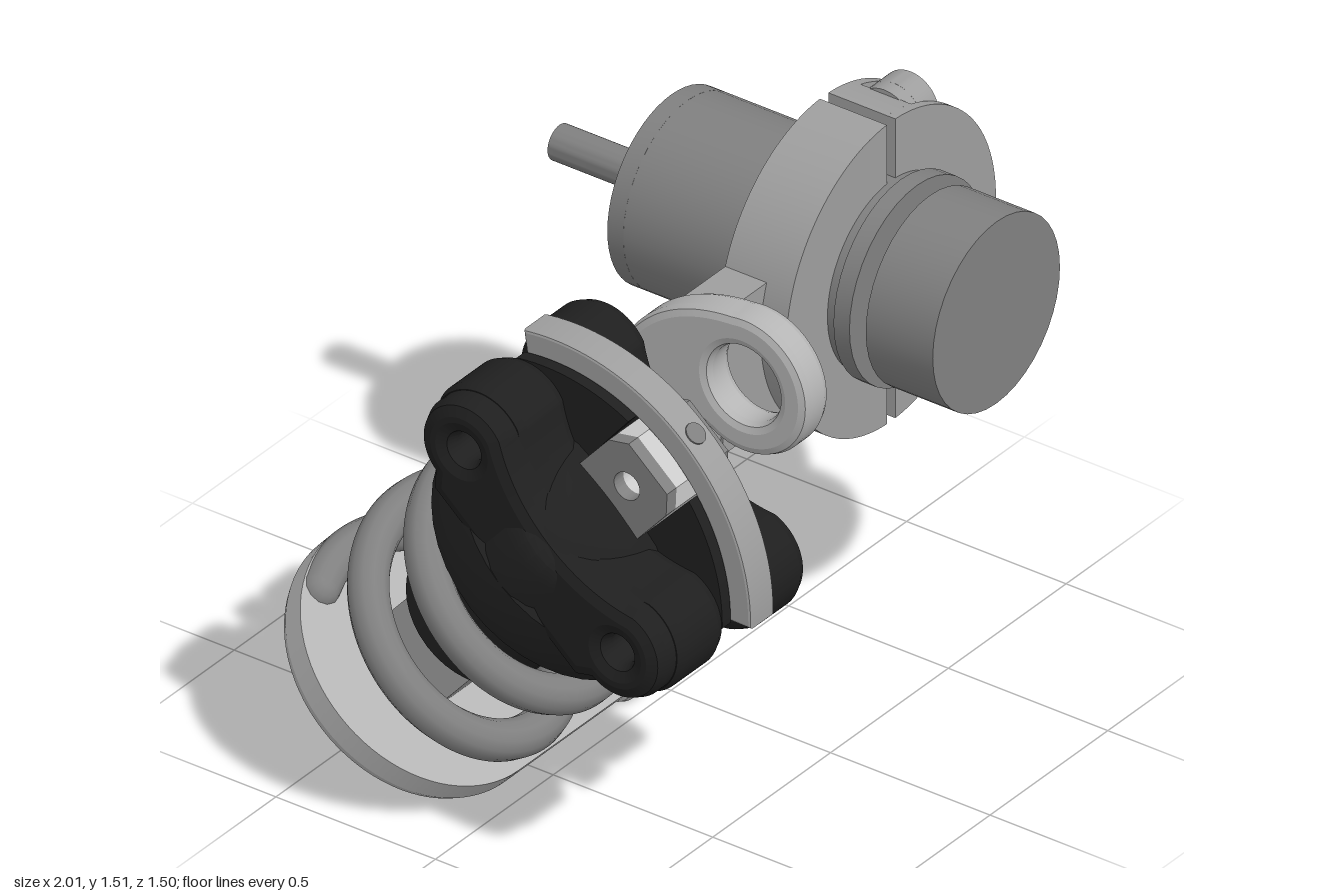
import * as THREE from 'three';
import { toCreasedNormals } from 'three/addons/utils/BufferGeometryUtils.js';

const PI = Math.PI;
const rad = (deg) => deg * PI / 180;
const paint = (color) => new THREE.MeshStandardMaterial({ color });
const light = paint(0xcccccc);
const frame = paint(0xb5b5b5);
const clampGrey = paint(0x9e9e9e);
const steel = paint(0x808080);
const black = paint(0x1f1f1f);

function add(parent, name, geometry, material) {
  const mesh = new THREE.Mesh(geometry, material);
  mesh.name = name;
  parent.add(mesh);
}

// Extrusion filling 0..thickness, with edges rounded inwards
function slab(shape, thickness, bevel = 0) {
  const g = new THREE.ExtrudeGeometry(shape, {
    depth: thickness - 2 * bevel, bevelEnabled: bevel > 0, bevelThickness: bevel,
    bevelSize: bevel, bevelOffset: -bevel, bevelSegments: 2, curveSegments: 28,
  });
  return toCreasedNormals(g, 0.35).translate(0, 0, bevel);
}

// Slab whose shape lies in (z, y), filling x0..x0 + thickness
const sideSlab = (shape, x0, thickness, bevel) =>
  slab(shape, thickness, bevel).rotateY(-PI / 2).translate(x0 + thickness, 0, 0);

const circle = (r, x = 0, y = 0) => new THREE.Path().absarc(x, y, r, 0, PI * 2, false);
const lathe = (pts) => toCreasedNormals(
  new THREE.LatheGeometry(pts.map((p) => new THREE.Vector2(p[0], p[1])), 40), 0.5);

function makeMotor() {
  const g = new THREE.Group();
  g.name = 'motor';
  // Stepped body, revolved about z from the rear to the front cap
  add(g, 'motorBody', lathe([[0, -0.36], [0.27, -0.36], [0.27, 0.31], [0.285, 0.31], [0.285, 0.36],
    [0.19, 0.36], [0.19, 0.40], [0.27, 0.40], [0.27, 0.61], [0, 0.61]]).rotateX(PI / 2), steel);
  // Rear face with screw holes
  const face = new THREE.Shape().absarc(0, 0, 0.27, 0, PI * 2, false);
  for (let i = 0; i < 4; i++) {
    const a = PI / 4 + i * PI / 2;
    face.holes.push(circle(0.022, 0.21 * Math.cos(a), 0.21 * Math.sin(a)));
  }
  add(g, 'motorRearFace', slab(face, 0.05).translate(0, 0, -0.41), steel);
  add(g, 'shaft', lathe([[0, -0.76], [0.05, -0.76], [0.05, -0.485], [0.085, -0.485], [0.085, -0.44],
    [0.16, -0.44], [0.16, -0.405], [0, -0.405]]).rotateX(PI / 2), steel);
  return g;
}

function makeClamp() {
  const g = new THREE.Group();
  g.name = 'clamp';
  const R = 0.445, r = 0.27, s = 0.018, boltY = 0.355;
  const outer = Math.acos(s / R), inner = Math.acos(s / r);
  // Half ring on the +x side; h is the half height of the bolt pocket cut into it
  const half = (h) => {
    const shape = new THREE.Shape();
    shape.moveTo(s, -r * Math.sin(inner));
    shape.lineTo(s, -R * Math.sin(outer));
    if (h > 0) {
      const n = Math.acos(0.12 / R), e = Math.asin((boltY - h) / R);
      shape.absarc(0, 0, R, -outer, -n, false);
      shape.lineTo(0.12, h - boltY);
      shape.absarc(0, 0, R, -e, e, false);
      shape.lineTo(0.12, boltY - h);
      shape.absarc(0, 0, R, n, outer, false);
    } else shape.absarc(0, 0, R, -outer, outer, false);
    shape.absarc(0, 0, r, inner, -inner, true);
    return shape;
  };
  // Layers through the depth give the pockets their round section
  const layers = 8, depth = 0.21 / layers;
  for (let i = 0; i < layers; i++) {
    const dz = (i + 0.5) * depth - 0.105;
    const h = Math.sqrt(Math.max(0, 0.0081 - dz * dz));
    add(g, 'clampHalfLeft', slab(half(h), depth).translate(0, 0, 0.07 + i * depth), clampGrey);
  }
  add(g, 'clampHalfRight', slab(half(0), 0.21).rotateZ(PI).translate(0, 0, 0.07), clampGrey);

  // Socket-head bolts running along x
  const head = new THREE.Shape().absarc(0, 0, 0.088, 0, PI * 2, false);
  const hex = [];
  for (let i = 0; i < 6; i++) {
    const a = i * PI / 3 + PI / 6;
    hex.push(new THREE.Vector2(0.06 * Math.cos(a), 0.06 * Math.sin(a)));
  }
  head.holes.push(new THREE.Path(hex));
  for (const y of [-boltY, boltY]) {
    add(g, 'boltHead', slab(head, 0.07).rotateY(PI / 2).translate(0.155, y, 0.175), clampGrey);
    add(g, 'boltBase', new THREE.CylinderGeometry(0.088, 0.088, 0.04, 32)
      .rotateZ(PI / 2).translate(0.135, y, 0.175), clampGrey);
  }
  return g;
}

// Upright plate with a pivot ring reaching forward at its top
function makeSidePlate() {
  const p = new THREE.Shape();
  p.moveTo(-0.11, 0.005);
  p.quadraticCurveTo(-0.05, -0.01, -0.015, 0.05);
  p.lineTo(0.223, 0.931);
  p.absarc(0.33, 1.1, 0.2, rad(-122), rad(100), false);
  p.quadraticCurveTo(0.0, 1.28, -0.1, 1.0);
  p.lineTo(-0.335, 0.34);
  p.lineTo(-0.38, 0.265);
  p.closePath();
  p.holes.push(circle(0.11, 0.33, 1.1));
  return sideSlab(p, -0.145, 0.105, 0.025);
}

// Shock absorber, built upright along y with the foot at y = 0
function makeShock() {
  const g = new THREE.Group();
  g.name = 'shockAbsorber';

  // Round foot with a neck to the side plate: rounded below, sharp above
  const foot = new THREE.Shape();
  foot.moveTo(0, 0.38);
  foot.lineTo(0.56, 0.38);
  foot.lineTo(0.56, 0.0);
  foot.lineTo(0.5, 0.0);
  foot.quadraticCurveTo(0.4, 0.0, 0.357, -0.13);
  foot.absarc(0, 0, 0.38, rad(-20), rad(-270), true);
  add(g, 'foot', slab(foot, 0.09, 0.03).rotateX(PI / 2).translate(0, 0.09, 0), frame);
  add(g, 'footTop', slab(foot, 0.06).rotateX(PI / 2).translate(0, 0.1, 0), frame);
  add(g, 'pistonBlock', new THREE.BoxGeometry(0.26, 0.25, 0.26).translate(0, 0.2, 0), clampGrey);

  // Coil spring
  const pts = [];
  for (let i = 0; i <= 90; i++) {
    const a = -0.5 + i / 90 * (PI * 5 + 0.5);
    pts.push(new THREE.Vector3(0.325 * Math.sin(a), 0.1 + 0.27 * a / (2 * PI), -0.325 * Math.cos(a)));
  }
  add(g, 'spring', new THREE.TubeGeometry(new THREE.CatmullRomCurve3(pts), 260, 0.055, 12), steel);
  add(g, 'springEnd', new THREE.SphereGeometry(0.055, 12, 8).translate(...pts[0].toArray()), steel);

  // Damper body, spring collar and the oval shoulder of the cap
  add(g, 'damperBody', lathe([[0, 0.31], [0.19, 0.31], [0.21, 0.33], [0.21, 0.66], [0.3, 0.72],
    [0.385, 0.73], [0.39, 0.78], [0.385, 0.87], [0.34, 0.92], [0, 0.93]]), black);
  add(g, 'capShoulder', lathe([[0.385, 0.8], [0.385, 0.98], [0.37, 1.03], [0.33, 1.07], [0.25, 1.1],
    [0, 1.12]]).scale(1, 1, 0.7), black);

  // Pair of pierced knuckles of radius r joined by a low waist
  const pierce = (c) => {
    for (const z of [-0.32, 0.32]) c.holes.push(circle(0.042, z, 1.02));
    return c;
  };
  const cheek = (r) => {
    const c = new THREE.Shape();
    c.moveTo(-0.3, 0.84);
    c.lineTo(0.3, 0.84);
    c.absarc(0.32, 1.02, r, rad(-85), rad(110), false);
    c.quadraticCurveTo(0.15, 1.07, 0, 1.07);
    c.quadraticCurveTo(-0.15, 1.07, -0.32 + r * Math.cos(rad(70)), 1.02 + r * Math.sin(rad(70)));
    c.absarc(-0.32, 1.02, r, rad(70), rad(265), false);
    return pierce(c);
  };
  add(g, 'knucklesLeft', sideSlab(cheek(0.15), 0.08, 0.185, 0.035), black);
  add(g, 'knucklesRight', sideSlab(cheek(0.15), -0.29, 0.21, 0.035), black);
  add(g, 'knucklesRightOuter', sideSlab(cheek(0.138), -0.355, 0.15, 0.04), black);

  // Thin walls on both sides of the blade slot, open at the seat
  const wall = new THREE.Shape();
  wall.moveTo(-0.4, 0.9);
  wall.lineTo(0.4, 0.9);
  wall.absarc(0, 0.75, 0.56, rad(40), rad(77), false);
  wall.lineTo(0.12, 1.1);
  wall.lineTo(-0.12, 1.1);
  wall.absarc(0, 0.75, 0.56, rad(103), rad(140), false);
  pierce(wall);
  for (const x of [-0.09, 0.055]) add(g, 'slotWall', sideSlab(wall, x, 0.035), black);

  // Curved blade in the slot, its pierced seat and the core below it
  const blade = new THREE.Shape();
  blade.absarc(0, 0.75, 0.62, rad(40), rad(140), false);
  blade.absarc(0, 0.75, 0.55, rad(140), rad(40), true);
  blade.closePath();
  add(g, 'blade', sideSlab(blade, -0.05, 0.1, 0.008), clampGrey);
  const seat = new THREE.Shape();
  seat.moveTo(-0.12, 1.06);
  seat.lineTo(0.12, 1.06);
  seat.lineTo(0.12, 1.24);
  seat.lineTo(0.08, 1.29);
  seat.lineTo(-0.08, 1.29);
  seat.lineTo(-0.12, 1.24);
  seat.closePath();
  seat.holes.push(circle(0.04, 0, 1.19));
  add(g, 'bladeSeat', sideSlab(seat, -0.09, 0.18), light);
  for (const x of [-0.13, 0.09]) add(g, 'seatPlate', sideSlab(seat, x, 0.04), steel);
  add(g, 'core', new THREE.BoxGeometry(0.1, 0.12, 0.78).translate(0, 0.9, 0), light);
  add(g, 'bladePin', new THREE.CylinderGeometry(0.03, 0.03, 0.02, 20).translate(0, 1.364, 0), steel);
  return g;
}

export function createModel() {
  const model = new THREE.Group();
  model.name = 'suspensionUnit';

  const drive = new THREE.Group();
  drive.name = 'drive';
  drive.position.set(0.555, 1.072, 0);
  drive.add(makeMotor(), makeClamp());
  model.add(drive);

  // Bar joining the clamp to the side plate
  add(model, 'clampArm', new THREE.BoxGeometry(0.25, 0.42, 0.13).translate(0.075, 1.01, 0.135), clampGrey);
  add(model, 'sidePlate', makeSidePlate(), frame);

  const shock = makeShock();
  shock.position.set(-0.62, 0.245, -0.37);
  shock.rotation.x = rad(41.3);
  model.add(shock);
  return model;
}
